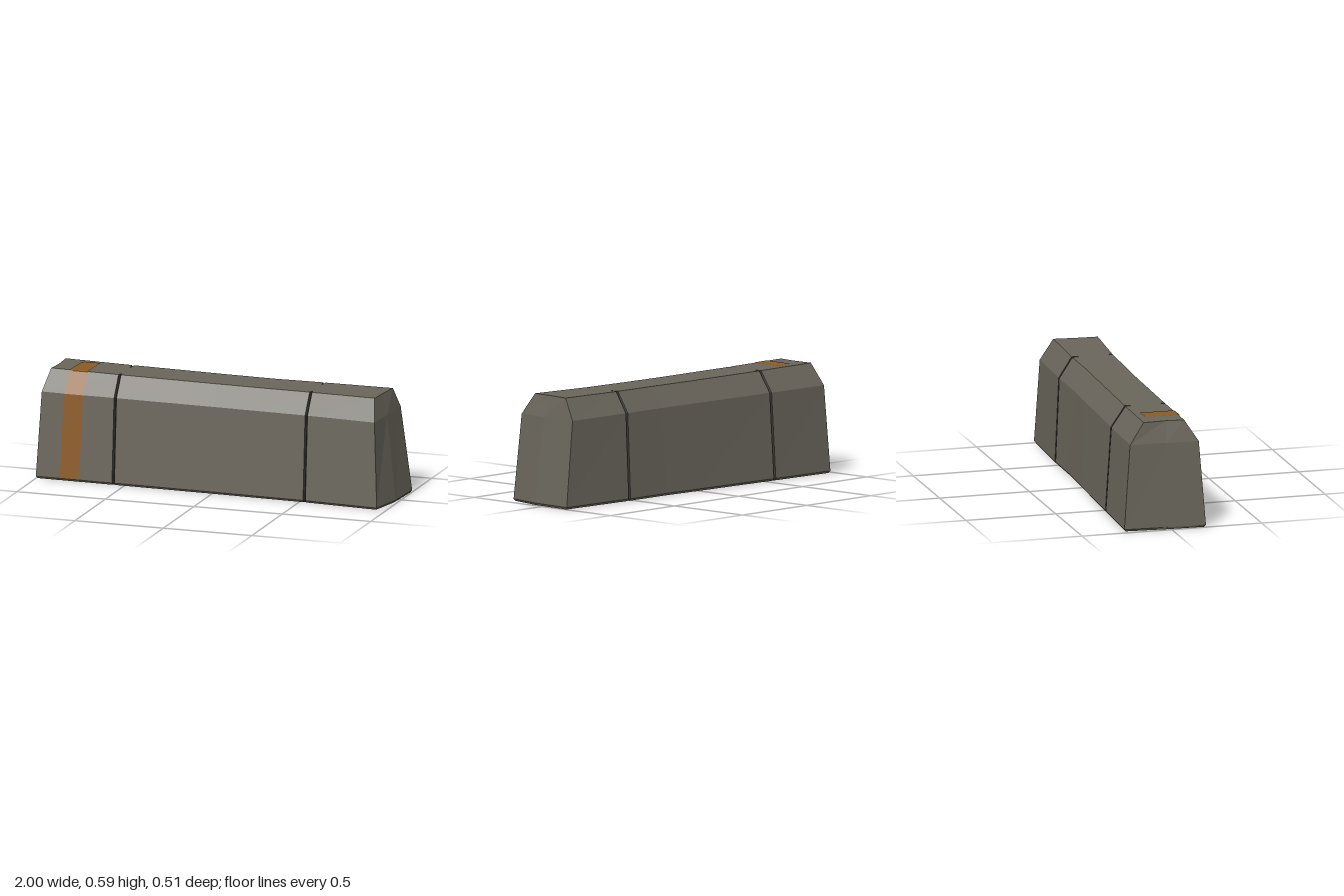
import * as THREE from 'three';

const concrete = new THREE.MeshStandardMaterial({ color: 0x69655b, name: 'concrete', flatShading: true });
const seamDark = new THREE.MeshStandardMaterial({ color: 0x35332e, name: 'seamShadow', flatShading: true });
const paint = new THREE.MeshStandardMaterial({ color: 0x8c5b24, name: 'orangePaint', flatShading: true });

const lerp = THREE.MathUtils.lerp;

// Levels of the cross-section: underside, base, shoulder, top
const levelY = [0, 0.012, 0.472, 0.588];
const frontInset = [0.009, 0, 0.034, 0.108];
const backInsetLeft = [0.009, 0, 0.035, 0.115];
const backInsetRight = [0.009, 0, 0.016, 0.086];

// The block is slightly bowed: base outline as [x, z] knots
const frontLine = [[-1, 0.19], [-0.56, 0.198], [0, 0.21], [0.53, 0.227], [0.95, 0.257]];
const backLine = [[-0.975, -0.257], [-0.56, -0.24], [0, -0.214], [0.25, -0.202], [0.53, -0.2], [1, -0.18]];

function along(line, x) {
  let i = 0;
  while (i < line.length - 2 && x > line[i + 1][0]) i++;
  const [a, b] = [line[i], line[i + 1]];
  return lerp(a[1], b[1], (x - a[0]) / (b[0] - a[0]));
}
const frontZ = (x, level) => along(frontLine, x) - frontInset[level];
const backZ = (x, level) =>
  along(backLine, x) + lerp(backInsetLeft[level], backInsetRight[level], (x + 1) / 2);
const heightAt = (x, level) => levelY[level] - (level === 3 ? 0.007 * (1 - x * x) : 0);

// How deep the seams cut in at each level
const seamFront = [0.014, 0.014, 0.016, 0.03];
const seamBack = [0.02, 0.02, 0.024, 0.055];

// One row across the block: front, middle and back point
function row(level, xs, cut) {
  const f = frontZ(xs[0], level) - (cut ? seamFront[level] : 0);
  const b = backZ(xs[2], level) + (cut ? seamBack[level] : 0);
  const m = lerp(frontZ(xs[1], level), backZ(xs[1], level), 0.45);
  return [f, m, b].map((z, i) => new THREE.Vector3(xs[i], heightAt(xs[i], level), z));
}

// End faces lean inwards: x of front, middle, back per level
const leftEnd = [[-0.99, -0.985, -0.967], [-1, -0.99, -0.975], [-0.978, -0.967, -0.962], [-0.95, -0.94, -0.945]];
const rightEnd = [[0.943, 0.982, 0.993], [0.95, 0.99, 1], [0.925, 0.936, 0.94], [0.9, 0.906, 0.92]];

function quad(list, a, b, c, d) {
  for (const p of [a, b, c, a, c, d]) list.push(p.x, p.y, p.z);
}

function meshFrom(list, material, name) {
  const geo = new THREE.BufferGeometry();
  geo.setAttribute('position', new THREE.Float32BufferAttribute(list, 3));
  geo.computeVertexNormals();
  const mesh = new THREE.Mesh(geo, material);
  mesh.name = name;
  return mesh;
}

function createBlock(group) {
  const body = [], seams = [];
  // Stations along the length, with a V cut at each seam
  const w = 0.007;
  const stations = [{ ends: leftEnd }];
  for (const x of [-0.56, 0, 0.25, 0.53]) {
    if (Math.abs(x) > 0.5) stations.push({ x: x - w }, { x, cut: true }, { x: x + w });
    else stations.push({ x });
  }
  stations.push({ ends: rightEnd });

  const rows = stations.map((s) =>
    levelY.map((_, l) => row(l, s.ends ? s.ends[l] : [s.x, s.x, s.x], s.cut)));
  // Ring order: up the front, over the top, down the back, under
  const rings = rows.map((r) => [
    r[0][0], r[1][0], r[2][0], r[3][0], r[3][1],
    r[3][2], r[2][2], r[1][2], r[0][2], r[0][1],
  ]);
  for (let i = 0; i < rings.length - 1; i++) {
    const inSeam = stations[i].cut || stations[i + 1].cut;
    for (let k = 0; k < 10; k++) {
      const n = (k + 1) % 10;
      const wall = [0, 1, 2, 5, 6, 7].includes(k);
      quad(inSeam && wall ? seams : body, rings[i][k], rings[i + 1][k], rings[i + 1][n], rings[i][n]);
    }
  }
  // End faces
  const L = rows[0], R = rows[rows.length - 1];
  for (let l = 0; l < 3; l++) {
    for (let c = 0; c < 2; c++) {
      quad(body, R[l][c], R[l][c + 1], R[l + 1][c + 1], R[l + 1][c]);
      quad(body, L[l][c + 1], L[l][c], L[l + 1][c], L[l + 1][c + 1]);
    }
  }
  group.add(meshFrom(body, concrete, 'barrierBlock'), meshFrom(seams, seamDark, 'seams'));
}

// Painted band up the front, over the shoulder and onto the top
function createStripe() {
  const lift = 0.004;
  const onFront = (x, y) => {
    const l = y <= levelY[2] ? 1 : 2;
    const t = (y - levelY[l]) / (levelY[l + 1] - levelY[l]);
    return new THREE.Vector3(x, y + (l === 2 ? lift * 0.6 : 0),
      lerp(frontZ(x, l), frontZ(x, l + 1), t) + lift);
  };
  const onTop = (x, z) => new THREE.Vector3(x, heightAt(x, 3) + lift * 0.7, z);
  // [y, left edge, right edge] for a hand-painted outline
  const frontRows = [
    [0.013, -0.868, -0.765], [0.04, -0.866, -0.755], [0.075, -0.862, -0.75], [0.2, -0.858, -0.748],
    [0.35, -0.853, -0.744], [0.472, -0.848, -0.742], [0.53, -0.845, -0.741], [0.582, -0.842, -0.74],
  ].map(([y, a, b]) => [onFront(a, y), onFront(b, y)]);
  const topRows = [[0.083, -0.842, -0.74], [0, -0.84, -0.738], [-0.085, -0.835, -0.735], [-0.1, -0.825, -0.735]]
    .map(([z, a, b]) => [onTop(a, z), onTop(b, z)]);
  const all = [...frontRows, ...topRows];
  const list = [];
  for (let i = 0; i < all.length - 1; i++) {
    quad(list, all[i][0], all[i][1], all[i + 1][1], all[i + 1][0]);
  }
  return meshFrom(list, paint, 'paintedStripe');
}

export function createModel() {
  const group = new THREE.Group();
  group.name = 'concreteBarrier';
  createBlock(group);
  group.add(createStripe());
  return group;
}
